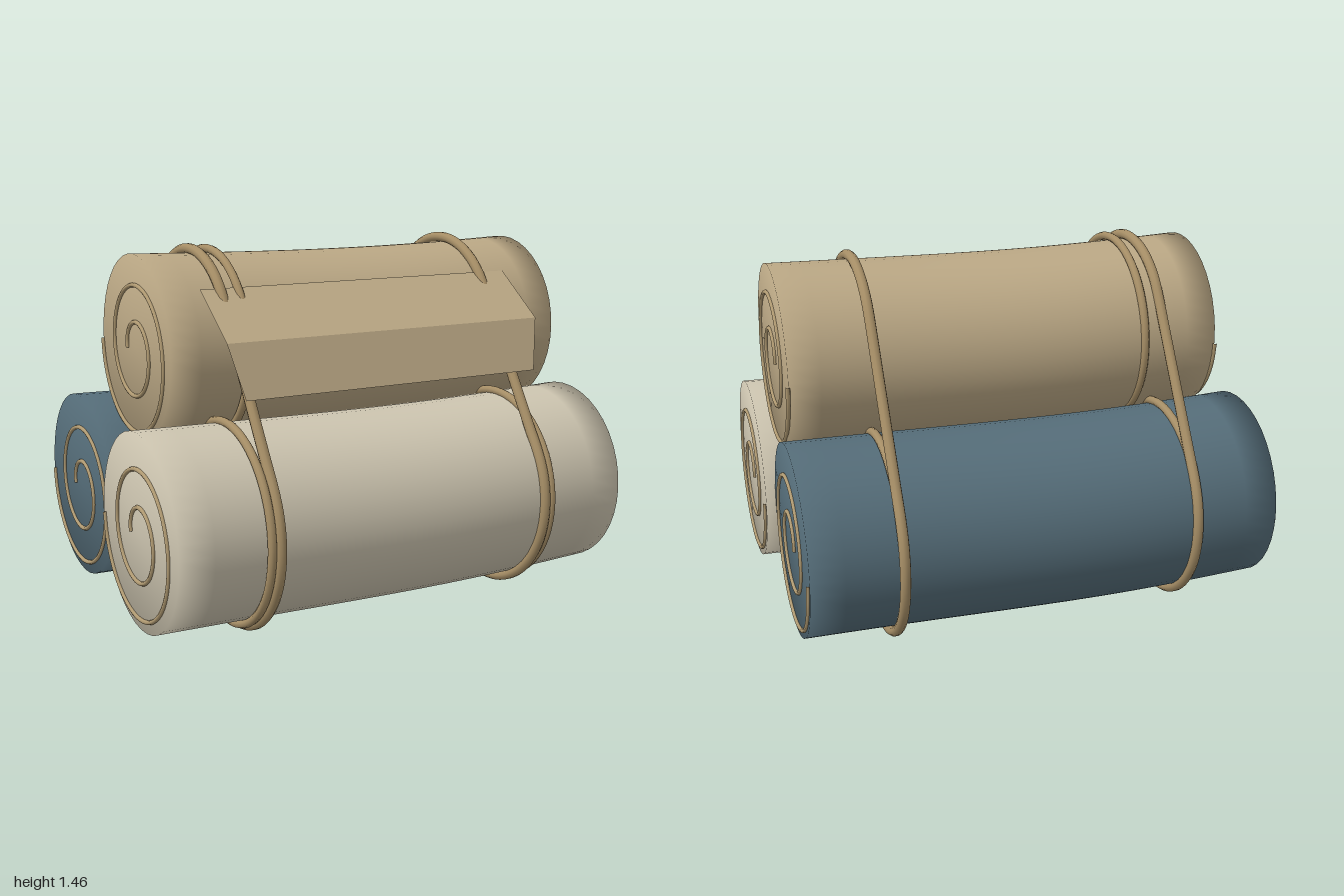
import * as THREE from 'three';
import { mergeVertices } from 'three/addons/utils/BufferGeometryUtils.js';

const mat = (color, side = THREE.FrontSide) => new THREE.MeshStandardMaterial({ color, side });
const strapMat = mat(0xa68e66);
const cordMat = mat(0xb09a72);

// Rolls lie along x; y and z are the centre of the ends
const ROLLS = [
  { name: 'frontRoll', x0: -0.99, x1: 0.985, y: 0.435, z: 0.38, r: 0.383, color: 0xcdc5b0 },
  { name: 'backRoll', x0: -0.95, x1: 0.945, y: 0.435, z: -0.385, r: 0.383, color: 0x556d79 },
  { name: 'topRoll', x0: -0.84, x1: 0.92, y: 1.066, z: 0, r: 0.365, color: 0xbba885 },
];

function addMesh(parent, name, geometry, material) {
  const mesh = new THREE.Mesh(geometry, material);
  mesh.name = name;
  parent.add(mesh);
  return mesh;
}

// Soft cylinder with a slight sag in the middle and a sideways wave
function rollGeometry({ x0, x1, y, z, r }) {
  const length = x1 - x0;
  const g = new THREE.CylinderGeometry(r, r, length, 40, 14);
  g.rotateZ(Math.PI / 2);
  const p = g.attributes.position;
  for (let i = 0; i < p.count; i++) {
    const t = p.getX(i) / length;
    p.setY(i, p.getY(i) - 0.018 * Math.cos(Math.PI * t));
    p.setZ(i, p.getZ(i) + 0.01 * Math.sin(2 * Math.PI * t));
  }
  g.translate((x0 + x1) / 2, y, z);
  // Share normals between barrel and caps for a padded look
  g.deleteAttribute('normal');
  g.deleteAttribute('uv');
  const soft = mergeVertices(g, 1e-4);
  soft.computeVertexNormals();
  return soft;
}

// Two-turn spiral cord lying on a roll end
function spiralGeometry(x, y, z) {
  const points = [];
  for (let i = 0; i <= 48; i++) {
    const a = (i / 48) * Math.PI * 4;
    const r = 0.075 + 0.29 * (i / 48);
    points.push(new THREE.Vector3(x, y + r * Math.sin(a), z - r * Math.cos(a)));
  }
  return new THREE.TubeGeometry(new THREE.CatmullRomCurve3(points), 140, 0.009, 8);
}

// Closed strap wrapping all three rolls
function strapGeometry(x) {
  const centres = [
    { z: 0.38, y: 0.42, r: 0.398, from: -90, to: 30 },
    { z: 0, y: 1.07, r: 0.37, from: 30, to: 150 },
    { z: -0.38, y: 0.42, r: 0.398, from: 150, to: 270 },
  ];
  const points = [];
  for (const { z, y, r, from, to } of centres) {
    for (let i = 0; i <= 10; i++) {
      const a = THREE.MathUtils.degToRad(from + ((to - from) * i) / 10);
      points.push(new THREE.Vector3(x, y + r * Math.sin(a), z + r * Math.cos(a)));
    }
    // Extra points keep the free spans straight
    const last = points[points.length - 1];
    const next = centres[(centres.indexOf(centres.find((c) => c.z === z)) + 1) % 3];
    const a = THREE.MathUtils.degToRad(next.from);
    const first = new THREE.Vector3(x, next.y + next.r * Math.sin(a), next.z + next.r * Math.cos(a));
    for (let i = 1; i <= 5; i++) points.push(last.clone().lerp(first, i / 6));
  }
  const curve = new THREE.CatmullRomCurve3(points, true);
  return new THREE.TubeGeometry(curve, 160, 0.021, 10, true);
}

// Folded sheet: a rectangle over the roll and a tapered drop below the crease
function flapGeometry() {
  const rows = [
    [-0.68, 0.717, 1.312, 0.275],
    [-0.68, 0.717, 1.14, 0.512],
    [-0.64, 0.66, 0.937, 0.585],
  ];
  const positions = [];
  for (const [l, r, y, z] of rows) positions.push(l, y, z, r, y, z);
  const g = new THREE.BufferGeometry();
  g.setAttribute('position', new THREE.Float32BufferAttribute(positions, 3));
  g.setIndex([0, 2, 1, 1, 2, 3, 2, 4, 3, 3, 4, 5]);
  const flat = g.toNonIndexed();
  flat.computeVertexNormals();
  return flat;
}

export function createModel() {
  const model = new THREE.Group();
  model.name = 'bedrollBundle';

  // Rolls with a spiral on each end
  for (const roll of ROLLS) {
    const group = new THREE.Group();
    group.name = roll.name;
    addMesh(group, 'rollBody', rollGeometry(roll), mat(roll.color));
    for (const x of [roll.x0 - 0.002, roll.x1 + 0.002]) {
      addMesh(group, 'endSpiral', spiralGeometry(x, roll.y - 0.012, roll.z), cordMat);
    }
    model.add(group);
  }

  // Straps around the whole bundle
  for (const x of [-0.6, 0.59]) addMesh(model, 'bundleStrap', strapGeometry(x), strapMat);

  // Single rings tied around each roll: x, y, z, radius
  const rings = [
    [-0.633, 0.425, 0.38, 0.393],
    [0.625, 0.425, 0.38, 0.393],
    [-0.6, 0.425, -0.385, 0.393],
    [0.59, 0.425, -0.385, 0.393],
    [-0.525, 1.065, 0, 0.373],
  ];
  for (const [x, y, z, r] of rings) {
    const g = new THREE.TorusGeometry(r, 0.017, 10, 64).rotateY(Math.PI / 2);
    addMesh(model, 'rollRing', g, strapMat).position.set(x, y, z);
  }

  // Flap hanging over the front of the top roll
  addMesh(model, 'frontFlap', flapGeometry(), mat(0xbba885, THREE.DoubleSide));

  return model;
}
